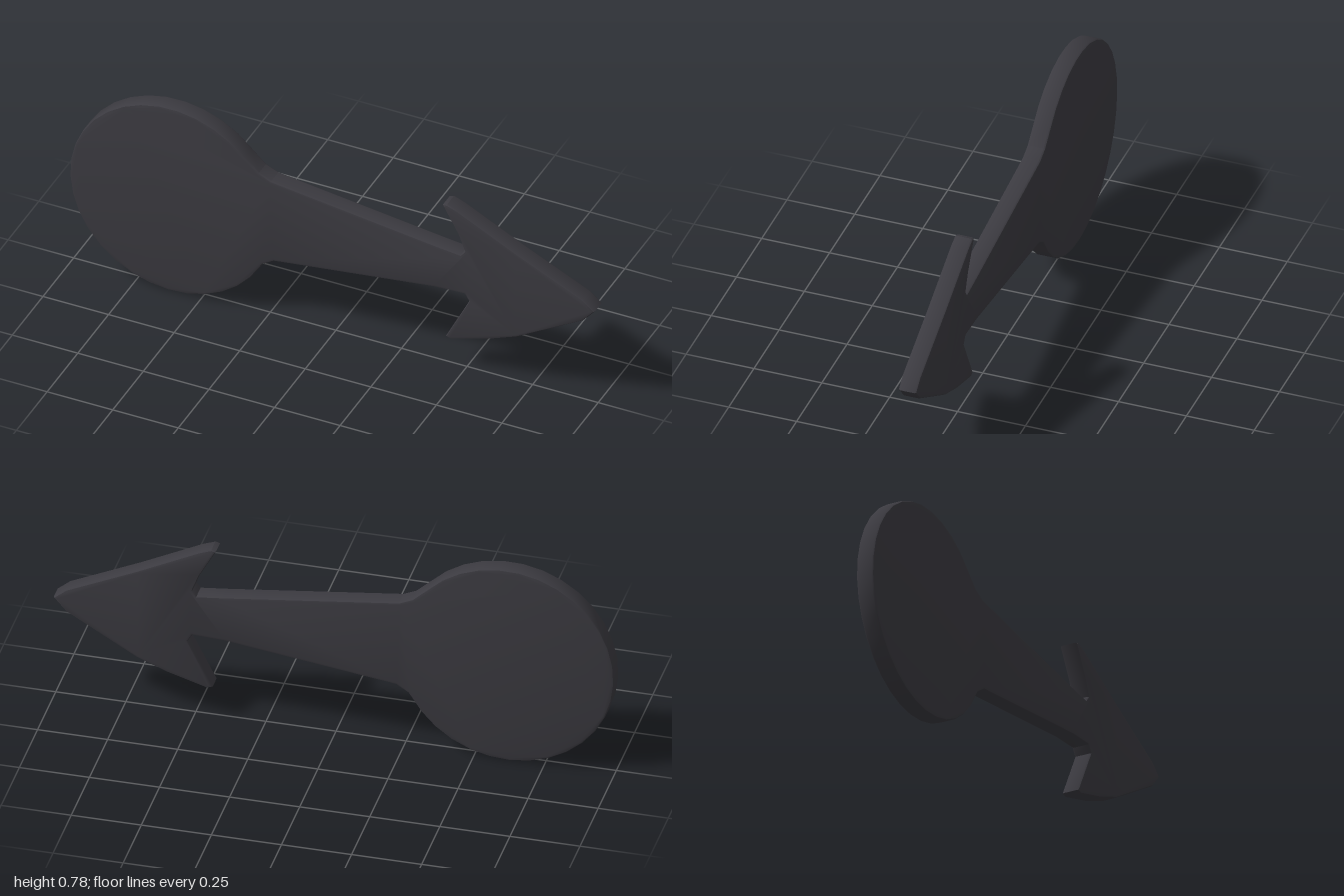
import * as THREE from 'three';
import { toCreasedNormals } from 'three/addons/utils/BufferGeometryUtils.js';

export function createModel() {
  const group = new THREE.Group();
  group.name = 'arrowPointer';
  const charcoal = new THREE.MeshStandardMaterial({ color: 0x3b3a40 });
  charcoal.name = 'charcoal';

  const outline = [];

  // Round disc, counter-clockwise from the upper neck to the lower neck
  const steps = 26, start = 43, end = 322;
  for (let i = 0; i <= steps; i++) {
    const a = THREE.MathUtils.degToRad(start + (end - start) * i / steps);
    outline.push([-0.615 + 0.385 * Math.cos(a), 0.389 + 0.389 * Math.sin(a)]);
  }

  // Lower neck and tapering shaft
  outline.push([-0.265, 0.22], [-0.222, 0.247], [0.393, 0.327], [0.505, 0.332]);
  // Arrowhead: lower barb, tip, upper barb
  outline.push(
    [0.522, 0.305], [0.433, 0.13], [0.452, 0.123], [0.596, 0.166], [0.703, 0.209],
    [0.955, 0.356], [1, 0.407], [0.955, 0.445], [0.703, 0.563], [0.48, 0.675],
    [0.437, 0.691], [0.421, 0.686], [0.48, 0.579], [0.505, 0.514]);
  // Upper shaft edge and neck
  outline.push([0.49, 0.493], [0.393, 0.504], [-0.233, 0.584], [-0.28, 0.605]);

  const shape = new THREE.Shape(outline.map(([x, y]) => new THREE.Vector2(x, y)));

  // Thin plate with softened edges; the outline is its widest contour
  const halfDepth = 0.034, bevel = 0.007;
  const plate = new THREE.ExtrudeGeometry(shape, {
    depth: 2 * (halfDepth - bevel),
    bevelEnabled: true,
    bevelThickness: bevel,
    bevelSize: 0.01,
    bevelOffset: -0.01,
    bevelSegments: 2,
  });
  plate.translate(0, 0, -(halfDepth - bevel));
  plate.clearGroups();

  const mesh = new THREE.Mesh(toCreasedNormals(plate, 0.6), charcoal);
  mesh.name = 'pointerPlate';
  group.add(mesh);
  return group;
}
